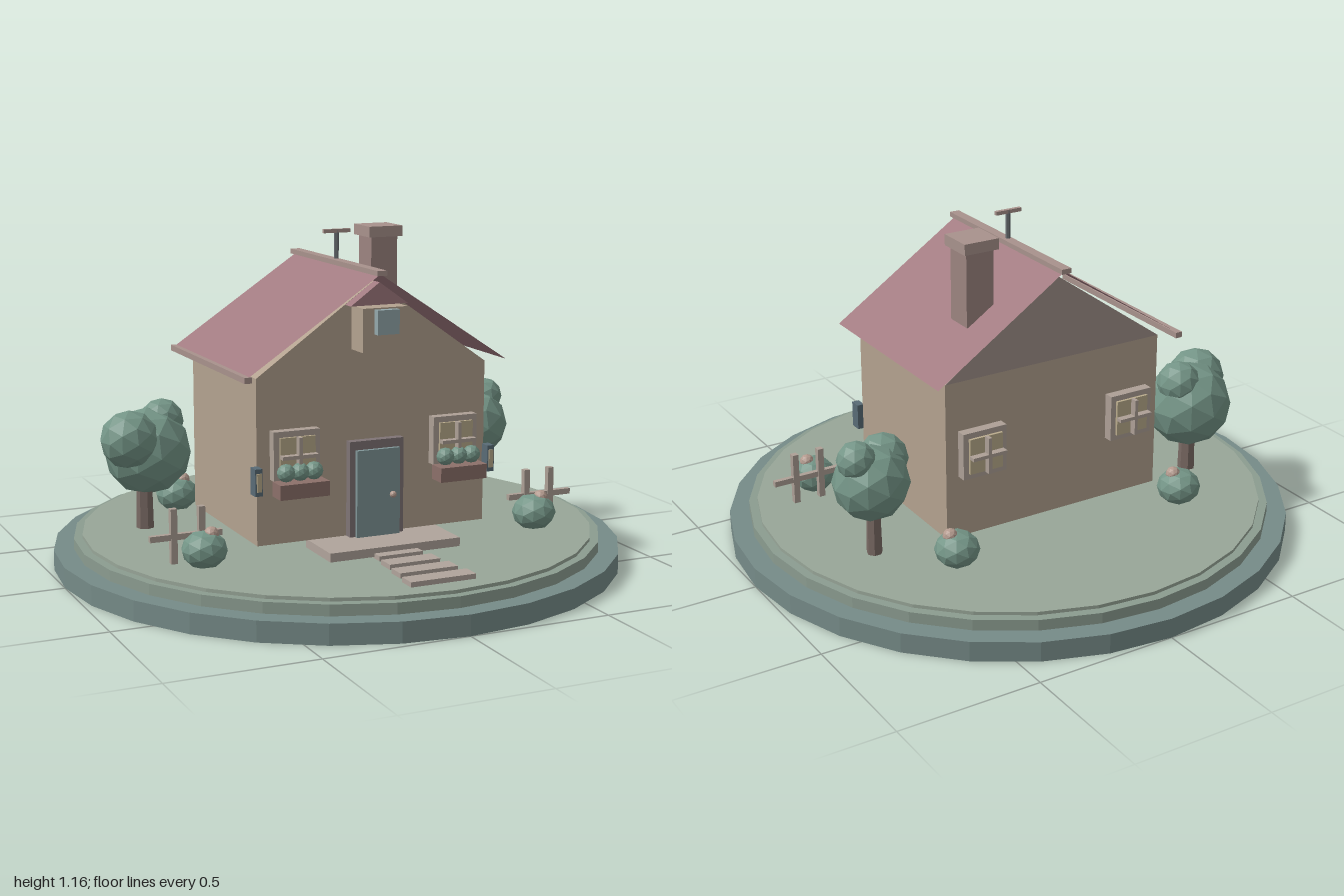
import * as THREE from 'three';

const mat = (color, side = THREE.FrontSide) =>
  new THREE.MeshStandardMaterial({ color, flatShading: true, side });
const M = {
  rim: mat(0x768b88), tier: mat(0x8b9c90), lawn: mat(0x98a698),
  wall: mat(0xb3a28f), rearGable: mat(0xa0918a), roof: mat(0xa17a80, THREE.DoubleSide),
  trim: mat(0xa8928c), brick: mat(0x9c8480), stone: mat(0xb0a49b),
  frame: mat(0x7f7476), door: mat(0x809698), glass: mat(0x94a8ac), pane: mat(0xb9ab8c),
  metal: mat(0x64696d), lantern: mat(0x596b76), planter: mat(0x8c706a),
  wood: mat(0xada096), bark: mat(0x7a6a64), leaf: mat(0x749587), flower: mat(0xb39a8e),
};

function add(parent, name, geometry, material, x = 0, y = 0, z = 0) {
  const mesh = new THREE.Mesh(geometry, material);
  mesh.name = name;
  mesh.position.set(x, y, z);
  parent.add(mesh);
  return mesh;
}

// Box given by its extents on each axis
function box(parent, name, material, x0, x1, y0, y1, z0, z1) {
  return add(parent, name, new THREE.BoxGeometry(x1 - x0, y1 - y0, z1 - z0), material,
    (x0 + x1) / 2, (y0 + y1) / 2, (z0 + z1) / 2);
}

const ball = (parent, name, material, r, x, y, z) =>
  add(parent, name, new THREE.IcosahedronGeometry(r, 1), material, x, y, z);

// Extruded outline running from z0 to z1
function prism(parent, name, material, points, z0, z1) {
  const shape = new THREE.Shape(points.map(([x, y]) => new THREE.Vector2(x, y)));
  const geometry = new THREE.ExtrudeGeometry(shape, { depth: z1 - z0, bevelEnabled: false });
  return add(parent, name, geometry, material, 0, 0, z0);
}

function group(parent, name) {
  const g = new THREE.Group();
  g.name = name;
  parent.add(g);
  return g;
}

function buildGround(root) {
  const g = group(root, 'ground');
  const tiers = [['rim', 1, 0, 0.07], ['tier', 0.93, 0.07, 0.108], ['lawn', 0.9, 0.108, 0.12]];
  for (const [name, r, y0, y1] of tiers) {
    add(g, name, new THREE.CylinderGeometry(r, r, y1 - y0, 28), M[name], 0, (y0 + y1) / 2, 0);
  }
  // Porch and path stones that widen away from the door
  box(g, 'porch', M.stone, -0.24, 0.24, 0.125, 0.155, 0.28, 0.48);
  for (let i = 0; i < 4; i++) {
    const w = 0.08 + i * 0.012, z = 0.488 + i * 0.1;
    box(g, 'pathStone', M.stone, -w, w, 0.12, 0.137, z - 0.032, z + 0.032);
  }
}

function buildWindow(parent, x, side) {
  const g = group(parent, 'window');
  box(g, 'windowFrame', M.wood, -0.083, 0.083, -0.083, 0.083, 0, 0.035);
  box(g, 'windowPane', M.pane, -0.063, 0.063, -0.063, 0.063, 0.02, 0.045);
  box(g, 'verticalBar', M.wood, -0.006, 0.006, -0.065, 0.065, 0.045, 0.07);
  box(g, 'horizontalBar', M.wood, -0.065, 0.065, -0.006, 0.006, 0.045, 0.07);
  g.position.set(x, 0.461, 0.3 * side);
  if (side < 0) g.rotation.y = Math.PI;
}

function buildHouse(root) {
  const g = group(root, 'house');
  prism(g, 'walls', M.wall,
    [[-0.425, 0.155], [0.425, 0.155], [0.425, 0.72], [0, 1.02], [-0.425, 0.72]], -0.3, 0.3);
  prism(g, 'rearGable', M.rearGable, [[-0.425, 0.72], [0.425, 0.72], [0, 1.02]], -0.302, -0.29);

  // Thin roof slopes, ridge cap and eave strip
  const run = 0.48, top = 1.047, eave = 0.73;
  for (const s of [-1, 1]) {
    const slope = new THREE.PlaneGeometry(Math.hypot(run, top - eave), 0.705);
    slope.rotateX(-Math.PI / 2);
    slope.rotateZ(-s * Math.atan2(top - eave, run));
    add(g, 'roofSlope', slope, M.roof, s * run / 2, (top + eave) / 2, 0);
  }
  box(g, 'ridgeCap', M.trim, -0.018, 0.018, 1.043, 1.06, -0.365, 0.365);
  box(g, 'eaveStrip', M.trim, -0.487, -0.462, 0.718, 0.738, -0.358, 0.358);

  // Chimney
  box(g, 'chimney', M.brick, 0.185, 0.288, 0.86, 1.118, -0.21, -0.107);
  box(g, 'chimneyCap', M.trim, 0.172, 0.302, 1.118, 1.156, -0.225, -0.095);

  // Roof aerial
  add(g, 'aerialPole', new THREE.CylinderGeometry(0.008, 0.008, 0.1, 6), M.metal, 0, 1.112, 0);
  box(g, 'aerialBar', M.trim, -0.05, 0.05, 1.152, 1.165, -0.007, 0.007);

  // Dormer
  box(g, 'dormer', M.wall, -0.082, 0.082, 0.795, 0.942, 0.28, 0.39);
  prism(g, 'dormerRoof', M.roof, [[-0.105, 0.945], [0.105, 0.945], [0, 1.02]], 0.25, 0.345);
  box(g, 'dormerWindow', M.glass, -0.04, 0.04, 0.855, 0.937, 0.385, 0.415);

  // Door
  box(g, 'doorFrame', M.frame, -0.1, 0.1, 0.155, 0.485, 0.29, 0.33);
  box(g, 'door', M.door, -0.08, 0.08, 0.155, 0.455, 0.3, 0.345);
  ball(g, 'doorKnob', M.flower, 0.012, 0.052, 0.295, 0.35);

  for (const s of [-1, 1]) {
    const x = 0.295 * s;
    buildWindow(g, x, 1);
    buildWindow(g, x, -1);
    // Flower box under the front window
    box(g, 'planter', M.planter, x - 0.088, x + 0.088, 0.33, 0.38, 0.335, 0.403);
    for (const dx of [-0.05, 0, 0.05]) ball(g, 'planterShrub', M.leaf, 0.031, x + dx, 0.41, 0.36);
    // Corner lantern
    const l = 0.433 * s;
    box(g, 'lantern', M.lantern, l - 0.013, l + 0.013, 0.335, 0.427, 0.298, 0.34);
    box(g, 'lanternGlass', M.pane, l - 0.008, l + 0.008, 0.35, 0.412, 0.335, 0.345);
  }
}

function buildTree(root, trunk, lobes) {
  const g = group(root, 'tree');
  const [x, z, r] = trunk;
  add(g, 'trunk', new THREE.CylinderGeometry(r * 0.85, r, 0.22, 7), M.bark, x, 0.23, z);
  for (const [lr, lx, ly, lz] of lobes) ball(g, 'foliage', M.leaf, lr, lx, ly, lz);
}

function buildFence(root, s) {
  const g = group(root, 'fence');
  for (const x of [0.613, 0.71]) {
    box(g, 'fencePost', M.wood, s * x - 0.011, s * x + 0.011, 0.125, 0.31, 0.266, 0.288);
  }
  box(g, 'fenceRail', M.wood, s * 0.667 - 0.125, s * 0.667 + 0.125, 0.205, 0.225, 0.268, 0.286);
}

export function createModel() {
  const root = new THREE.Group();
  root.name = 'cottage';
  buildGround(root);
  buildHouse(root);

  // Trees: trunk [x, z, radius], lobes [radius, x, y, z]
  buildTree(root, [-0.645, -0.21, 0.032], [
    [0.155, -0.625, 0.39, -0.23], [0.103, -0.713, 0.452, -0.157], [0.079, -0.564, 0.49, -0.25]]);
  buildTree(root, [0.645, -0.193, 0.027], [
    [0.132, 0.65, 0.385, -0.193], [0.088, 0.582, 0.437, -0.148], [0.067, 0.71, 0.484, -0.21]]);

  // Flowering bushes
  for (const [x, z] of [[-0.455, -0.415], [0.447, -0.405], [-0.622, 0.33], [0.602, 0.355]]) {
    const g = group(root, 'bush');
    ball(g, 'bushLeaves', M.leaf, 0.077, x, 0.176, z).scale.y = 0.83;
    ball(g, 'bushBlossom', M.flower, 0.026, x + 0.022, 0.227, z + 0.006);
  }

  for (const s of [-1, 1]) buildFence(root, s);
  return root;
}
